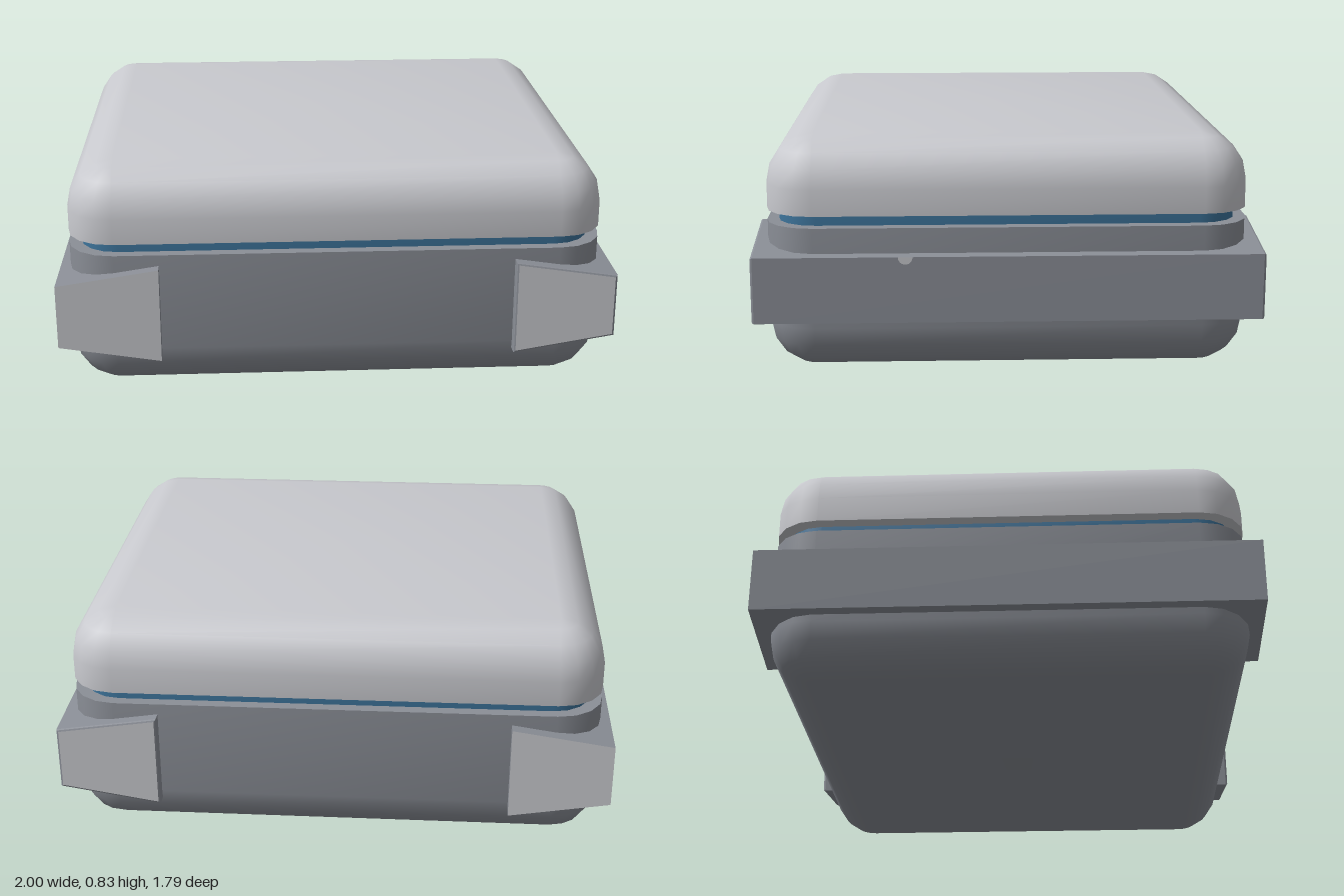
import * as THREE from 'three';
import { toCreasedNormals } from 'three/addons/utils/BufferGeometryUtils.js';

const CORNER_STEPS = 4;

// Rounded rectangle of points at height y
function ring(hx, hz, r, y) {
  const pts = [];
  const signs = [[1, 1], [-1, 1], [-1, -1], [1, -1]];
  signs.forEach(([sx, sz], q) => {
    for (let k = 0; k <= CORNER_STEPS; k++) {
      const a = (q + k / CORNER_STEPS) * Math.PI / 2;
      pts.push([sx * (hx - r) + r * Math.cos(a), y, sz * (hz - r) + r * Math.sin(a)]);
    }
  });
  return pts;
}

// Closed solid through a stack of rings, bottom to top
function loft(rings) {
  const n = rings[0].length;
  const pos = rings.flat(2);
  const index = [];
  for (let i = 0; i < rings.length - 1; i++) {
    for (let j = 0; j < n; j++) {
      const a = i * n + j, c = i * n + (j + 1) % n;
      index.push(a, a + n, c, c, a + n, c + n);
    }
  }
  const bottom = rings.length * n, top = bottom + 1, last = (rings.length - 1) * n;
  pos.push(0, rings[0][0][1], 0, 0, rings[rings.length - 1][0][1], 0);
  for (let j = 0; j < n; j++) {
    const k = (j + 1) % n;
    index.push(bottom, j, k, top, last + k, last + j);
  }
  const geo = new THREE.BufferGeometry();
  geo.setAttribute('position', new THREE.Float32BufferAttribute(pos, 3));
  geo.setIndex(index);
  return toCreasedNormals(geo, 0.6);
}

// Rounded slab: one flat cut end, the other end rounded over
function shell(hx, hz, r, cutY, roundY) {
  const dir = Math.sign(roundY - cutY);
  const rings = [ring(hx, hz, r, cutY)];
  for (let k = 0; k <= CORNER_STEPS; k++) {
    const a = k / CORNER_STEPS * Math.PI / 2;
    const cr = Math.max(r * Math.cos(a), 0.004);
    rings.push(ring(hx - r + cr, hz - r + cr, cr, roundY - dir * r * (1 - Math.sin(a))));
  }
  return loft(dir > 0 ? rings : rings.reverse());
}

export function createModel() {
  const group = new THREE.Group();
  const mat = (name, color) => {
    const m = new THREE.MeshStandardMaterial({ color });
    m.name = name;
    return m;
  };
  const lightGrey = mat('light grey', 0xc8c9ce);
  const midGrey = mat('mid grey', 0x8b8f97);
  const blue = mat('blue', 0x3d749b);
  const add = (name, geo, material) => {
    const mesh = new THREE.Mesh(geo, material);
    mesh.name = name;
    group.add(mesh);
    return mesh;
  };

  // Case: rounded base, recessed band and rounded lid
  add('base', shell(0.965, 0.852, 0.17, 0.53, 0), midGrey);
  add('band', loft([ring(0.92, 0.812, 0.14, 0.52), ring(0.92, 0.812, 0.14, 0.58)]), blue);
  add('lid', shell(0.965, 0.852, 0.17, 0.572, 0.835), lightGrey);

  // Side clamps: tapered bars with light end faces; the left one has softened edges
  for (const s of [1, -1]) {
    const corners = [[0.635, 0.14], [1, 0.2], [1, 0.435], [0.635, 0.49]];
    const shape = new THREE.Shape(corners.map(([x, y]) => new THREE.Vector2(s * x, y)));
    const bevel = s > 0 ? 0.008 : 0;
    const geo = new THREE.ExtrudeGeometry(shape, {
      depth: 1.79 - 2 * bevel, bevelEnabled: bevel > 0, bevelSegments: 2,
      bevelSize: bevel, bevelThickness: bevel, bevelOffset: -bevel,
    });
    geo.translate(0, 0, -0.895 + bevel);
    add(s > 0 ? 'leftClamp' : 'rightClamp', geo, [lightGrey, midGrey]);
  }

  // Small half-round mark at the upper edge of the left clamp
  const mark = add('mark', new THREE.CircleGeometry(0.025, 12, Math.PI, Math.PI), lightGrey);
  mark.rotation.y = Math.PI / 2;
  mark.position.set(1.001, 0.434, 0.36);

  return group;
}
